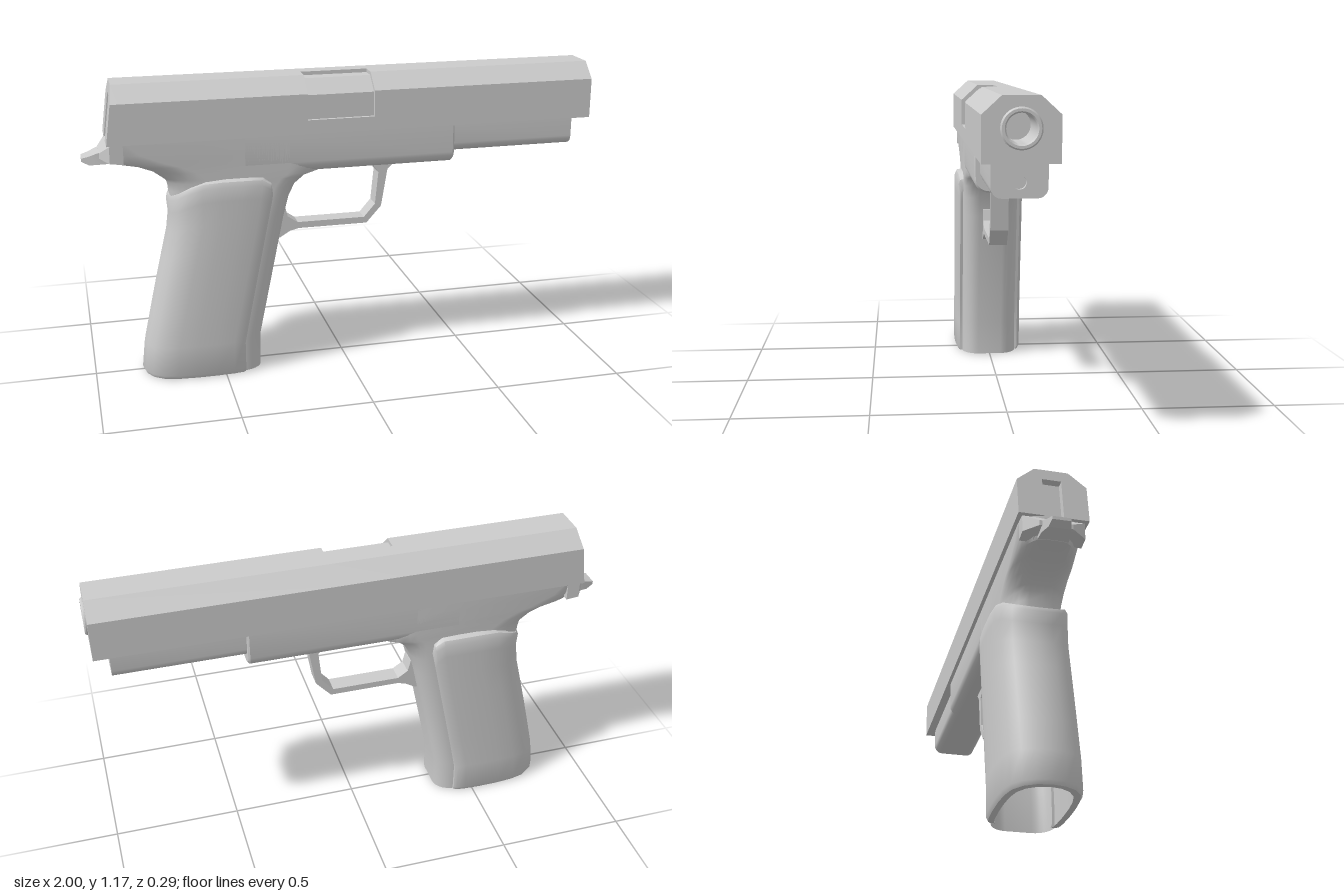
import * as THREE from 'three';
import { mergeGeometries, toCreasedNormals } from 'three/addons/utils/BufferGeometryUtils.js';

const material = new THREE.MeshStandardMaterial({ color: 0xcccccc });
const shellMaterial = new THREE.MeshStandardMaterial({ color: 0xcccccc, side: THREE.DoubleSide });

// Skin between rings of [x, y, z] points
function skin(rings, closed) {
  const n = rings[0].length, pos = [];
  for (let i = 0; i + 1 < rings.length; i++) {
    for (let j = 0; j < (closed ? n : n - 1); j++) {
      const k = (j + 1) % n;
      const a = rings[i][j], b = rings[i + 1][j], c = rings[i + 1][k], d = rings[i][k];
      pos.push(...a, ...d, ...c, ...a, ...c, ...b);
    }
  }
  const g = new THREE.BufferGeometry();
  g.setAttribute('position', new THREE.Float32BufferAttribute(pos, 3));
  return g;
}

function bare(g) {
  const out = g.index ? g.toNonIndexed() : g;
  out.deleteAttribute('uv');
  out.deleteAttribute('normal');
  return out;
}

// Solid along x from [x, ring] sections, ring points are [z, y];
// the front cap may have a round hole
function solidAlongX(sections, hole) {
  const [x0, first] = sections[0];
  const [x1, last] = sections[sections.length - 1];
  const front = new THREE.Shape(last.map(([z, y]) => new THREE.Vector2(-z, y)));
  if (hole) front.holes.push(new THREE.Path().absarc(0, hole.y, hole.r, 0, Math.PI * 2, true));
  const back = new THREE.Shape(first.map(([z, y]) => new THREE.Vector2(z, y)));
  return mergeGeometries([
    skin(sections.map(([x, ring]) => ring.map(([z, y]) => [x, y, z])), true),
    bare(new THREE.ShapeGeometry(front, 16).rotateY(Math.PI / 2).translate(x1, 0, 0)),
    bare(new THREE.ShapeGeometry(back).rotateY(-Math.PI / 2).translate(x0, 0, 0)),
  ]);
}

// Linear lookup in rows of [y, value, value...]
function lookup(rows, y, col) {
  for (let i = 1; i < rows.length; i++) {
    const [a, b] = [rows[i - 1], rows[i]];
    if (y <= b[0]) return THREE.MathUtils.lerp(a[col], b[col], (y - a[0]) / (b[0] - a[0]));
  }
  return rows[rows.length - 1][col];
}

// U-shaped section with rounded lower corners
function channel(w, bottom, top, rz, ry) {
  const half = [];
  for (let i = 0; i <= 5; i++) {
    const a = (i / 5) * Math.PI / 2;
    half.push([w - rz + rz * Math.sin(a), bottom + ry - ry * Math.cos(a)]);
  }
  half.push([w, top]);
  return [...half.map(([z, y]) => [-z, y]), ...half.slice().reverse()];
}

const box = (w, y0, y1) => [[w, y0], [-w, y0], [-w, y1], [w, y1]];

// Slide section, with the rear slot and the port open or closed
function slideRing(slotTop, port) {
  const d = port ? 0.014 : 0;
  return [
    [0.127, 0.955], [0.035, 0.955], [0.035, slotTop], [-0.035, slotTop], [-0.035, 0.955],
    [-0.127, 0.955], [-0.127, 1.11], [-0.062, 1.17],
    [0, 1.17], [0, 1.17 - d], [0.062 - d * 0.5, 1.17 - d], [0.127 - d, 1.11 - d * 0.5],
    [0.127 - d, 1.01], [0.127, 1.01],
  ];
}

// Horizontal grip section with rounded front and back
function coreRing(y, xf, xb, w, rf, rb) {
  const half = [], steps = 7;
  for (let i = 0; i <= steps; i++) {
    const a = (i / steps) * Math.PI / 2;
    half.push([xf - rf * (1 - Math.cos(a)), w * (0.42 + 0.58 * Math.sin(a))]);
  }
  for (let i = steps; i >= 0; i--) {
    const a = (i / steps) * Math.PI / 2;
    half.push([xb + rb * (1 - Math.cos(a)), w * (0.3 + 0.7 * Math.sin(a))]);
  }
  return [...half.map(([x, z]) => [x, y, -z]), ...half.reverse().map(([x, z]) => [x, y, z])];
}

export function createModel() {
  const model = new THREE.Group();
  const add = (name, geometry, crease = 0.3, mat = material) => {
    const mesh = new THREE.Mesh(toCreasedNormals(bare(geometry), crease), mat);
    mesh.name = name;
    model.add(mesh);
  };

  // Slide with recessed port, rear slot and raked rear face
  const plain = slideRing(0.955, false), port = slideRing(0.955, true), slot = slideRing(1.125, false);
  const slide = solidAlongX(
    [[-0.91, slot], [-0.88, slot], [-0.88, plain], [-0.16, plain], [-0.16, port],
      [0.1, port], [0.1, plain], [0.99, plain]],
    { y: 1.067, r: 0.066 });
  const p = slide.attributes.position;
  for (let i = 0; i < p.count; i++) {
    if (p.getX(i) < -0.8) p.setX(i, p.getX(i) + (p.getY(i) - 0.955) * 0.14);
  }
  add('slide', slide);

  // Barrel and rod hole are turned about the x axis
  const turned = (points, y) => new THREE.LatheGeometry(
    points.map(([r, x]) => new THREE.Vector2(r, x)), 32).rotateZ(-Math.PI / 2).translate(0, y, 0);
  add('barrel', turned([[0.068, 0.96], [0.068, 0.995], [0.063, 1], [0.054, 1],
    [0.049, 0.993], [0.049, 0.8], [0, 0.8]], 1.067), 0.5, shellMaterial);
  add('rodHole', turned([[0.023, 0.93], [0.023, 0.91], [0, 0.91]], 0.892), 0.5, shellMaterial);

  // Front rail and the wider frame channel behind it
  const rail = channel(0.093, 0.84, 0.957, 0.035, 0.035);
  add('rail', solidAlongX([[0.3, rail], [0.93, rail]], { y: 0.892, r: 0.023 }), 0.5);
  const lip = channel(0.108, 0.805, 0.957, 0.05, 0.045);
  const cover = channel(0.113, 0.8, 0.957, 0.05, 0.045);
  add('frameChannel', solidAlongX([[-0.4, cover], [0.423, cover], [0.43, lip]]), 0.5);

  // Grip core rising into the frame, open at the base
  const coreRows = [
    // y, front x, back x, half width, front rounding, back rounding
    [0, -0.35, -0.795, 0.115, 0.08, 0.2],
    [0.14, -0.346, -0.775, 0.115, 0.08, 0.2],
    [0.62, -0.246, -0.672, 0.115, 0.08, 0.2],
    [0.7, -0.225, -0.678, 0.115, 0.08, 0.18],
    [0.75, -0.2, -0.682, 0.114, 0.09, 0.17],
    [0.785, -0.155, -0.69, 0.113, 0.11, 0.16],
    [0.8, -0.1, -0.705, 0.113, 0.14, 0.16],
    [0.83, -0.09, -0.745, 0.113, 0.14, 0.16],
    [0.855, -0.09, -0.81, 0.113, 0.14, 0.17],
    [0.87, -0.09, -0.89, 0.113, 0.14, 0.2],
    [0.91, -0.09, -0.91, 0.113, 0.14, 0.12],
    [0.957, -0.09, -0.905, 0.113, 0.14, 0.06],
  ];
  add('gripFrame', skin(coreRows.map((r) => coreRing(...r)), true), 0.8, shellMaterial);

  // Wraparound grip panel: [front-to-back fraction, half width, top height]
  const panelHalf = [
    [0, 0.105, 0.735], [0, 0.126, 0.735], [0.03, 0.135, 0.775], [0.12, 0.14, 0.798], [0.3, 0.143, 0.8],
    [0.5, 0.142, 0.8], [0.68, 0.136, 0.795], [0.82, 0.122, 0.775], [0.92, 0.092, 0.75],
    [0.98, 0.05, 0.735], [1, 0, 0.73],
  ];
  const panelRows = [
    // y, front x, back x
    [0, -0.42, -0.818], [0.13, -0.42, -0.803], [0.4, -0.365, -0.742],
    [0.63, -0.318, -0.686], [0.74, -0.295, -0.696], [0.8, -0.288, -0.7],
  ];
  const panelLevels = [[0, 0.03], [0, 0.008], [0.02, 0], [0.17, 0], [0.34, 0], [0.5, 0], [0.65, 0],
    [0.79, 0], [0.9, 0], [0.965, 0], [0.99, 0.008], [1, 0.035]];
  const panelRings = panelLevels.map(([v, inset]) => {
    const half = panelHalf.map(([s, w, top]) => {
      const y = v * top;
      const xf = lookup(panelRows, y, 1), xb = lookup(panelRows, y, 2) + inset;
      return [THREE.MathUtils.lerp(xf, xb, s), y, w * (1 - inset / 0.14)];
    });
    return [...half.map(([x, y, z]) => [x, y, -z]), ...half.slice(0, -1).reverse()];
  });
  add('gripPanel', skin(panelRings, false), 0.8, shellMaterial);

  // Rear tang and the pointed spur
  add('tang', solidAlongX([[-0.935, box(0.06, 0.895, 0.915)], [-0.9, box(0.112, 0.885, 0.95)],
    [-0.85, box(0.112, 0.88, 0.956)]]));
  add('spur', solidAlongX([[-1, box(0.033, 0.88, 0.892)], [-0.972, box(0.04, 0.866, 0.9)],
    [-0.93, box(0.052, 0.87, 0.917)], [-0.87, box(0.056, 0.872, 0.956)]]));

  // Guard loop under the frame
  const guard = new THREE.Shape([
    [0.22, 0.81], [0.18, 0.77], [0.155, 0.62], [0.095, 0.553], [-0.18, 0.553], [-0.215, 0.545],
    [-0.257, 0.52], [-0.28, 0.52], [-0.25, 0.67], [-0.236, 0.65], [-0.225, 0.605], [-0.185, 0.578],
    [0.085, 0.578], [0.13, 0.63], [0.143, 0.76], [0.1, 0.81],
  ].map(([x, y]) => new THREE.Vector2(x, y)));
  add('guard', new THREE.ExtrudeGeometry(guard, { depth: 0.07, bevelEnabled: false }).translate(0, 0, -0.035));

  return model;
}
